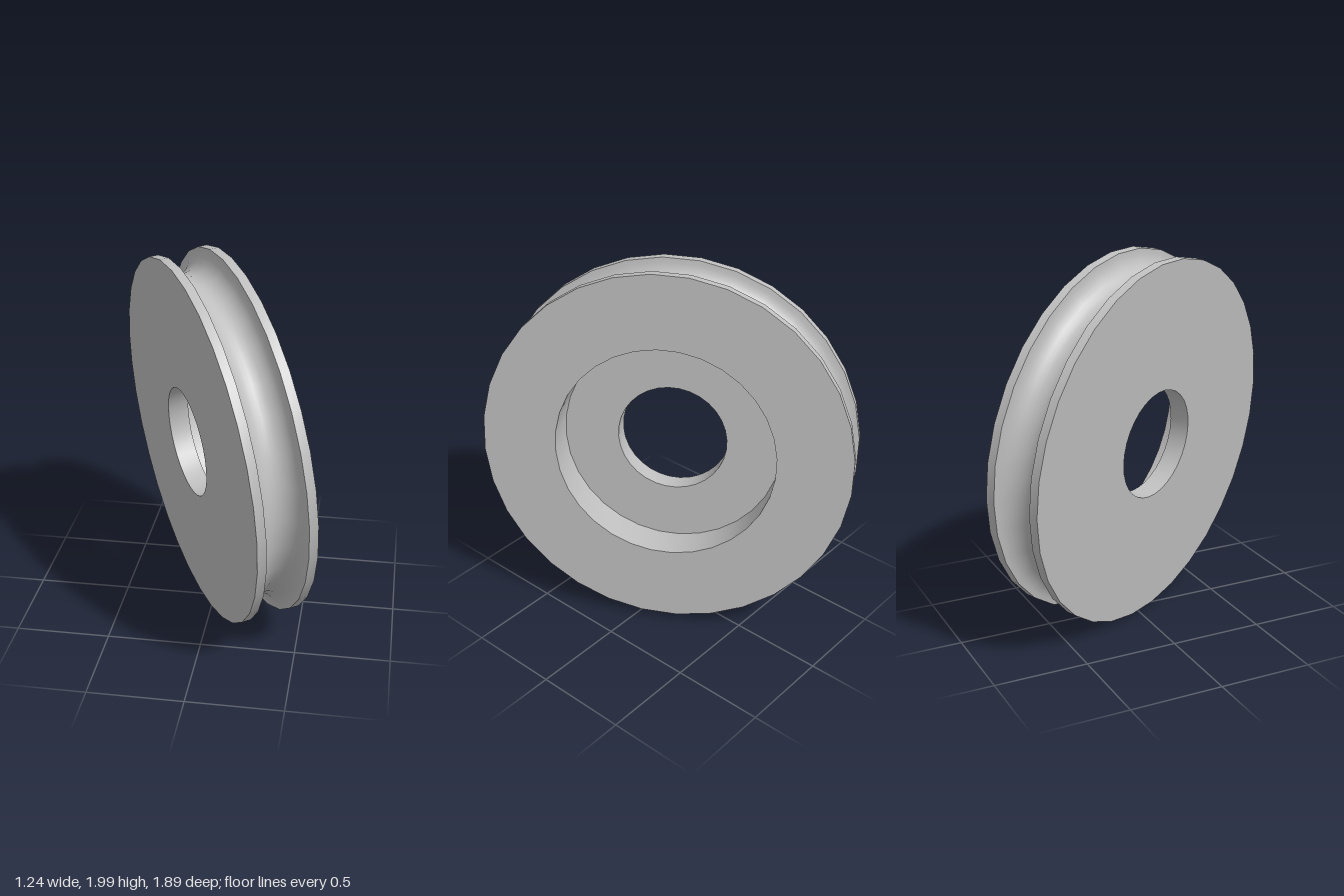
import * as THREE from 'three';
import { toCreasedNormals } from 'three/addons/utils/BufferGeometryUtils.js';

export function createModel() {
  const steel = new THREE.MeshStandardMaterial({ color: 0xc0c0c0 });
  steel.name = 'light grey';

  const R = 0.99;         // rim radius
  const half = 0.158;     // half the wheel width
  const groove = 0.11;    // half the groove width
  const depth = 0.12;     // groove depth
  const bore = 0.297;     // axle hole radius
  const recess = 0.592;   // bearing recess radius
  const floor = -0.045;   // height of the recess floor

  // Closed cross-section: up the rim, over the face and down through the bore
  const profile = [new THREE.Vector2(bore, -half), new THREE.Vector2(R, -half)];
  const steps = 14;
  for (let i = 0; i <= steps; i++) {
    const a = (i / steps) * Math.PI;
    profile.push(new THREE.Vector2(R - depth * Math.sin(a), -groove * Math.cos(a)));
  }
  profile.push(
    new THREE.Vector2(R, half),
    new THREE.Vector2(recess, half),
    new THREE.Vector2(recess, floor),
    new THREE.Vector2(bore, floor),
    new THREE.Vector2(bore, -half)
  );

  const geometry = toCreasedNormals(new THREE.LatheGeometry(profile, 32), 0.6);
  const wheel = new THREE.Mesh(geometry, steel);
  wheel.name = 'groovedPulleyWheel';

  // Lean the axle; the recess opens to the model's left and back
  const axle = new THREE.Vector3(0.872, 0.1, -0.477).normalize();
  wheel.quaternion.setFromUnitVectors(new THREE.Vector3(0, 1, 0), axle);
  wheel.position.y = 1;

  const group = new THREE.Group();
  group.name = 'pulley';
  group.add(wheel);
  return group;
}
